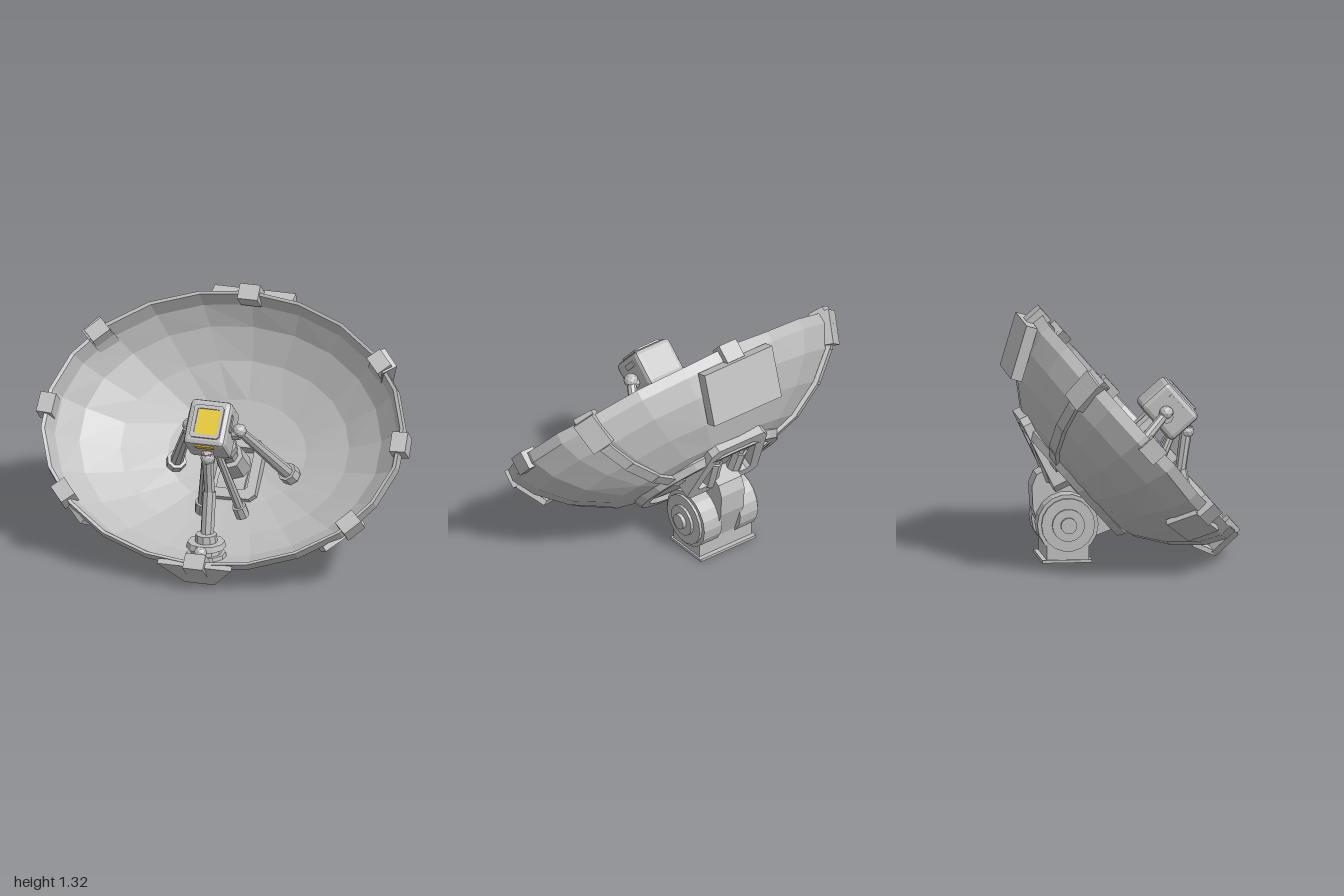
import * as THREE from 'three';
import { RoundedBoxGeometry } from 'three/addons/geometries/RoundedBoxGeometry.js';

const grey = new THREE.MeshStandardMaterial({ color: 0xbebebe, flatShading: true });
grey.name = 'light grey metal';
const yellow = new THREE.MeshStandardMaterial({ color: 0xe6c62e, flatShading: true });
yellow.name = 'yellow lens';

const V = (x, y, z) => new THREE.Vector3(x, y, z);
const RX = 0.975, RZ = 0.765; // rim half-widths
const OUTER = [[0, -0.485], [0.35, -0.46], [0.58, -0.405], [0.78, -0.303], [0.93, -0.175], [1.0, -0.06], [0.995, 0]];
const INNER = [[0.975, -0.005], [0.94, -0.095], [0.83, -0.2], [0.63, -0.3], [0.38, -0.37], [0, -0.405]];

function add(parent, name, geo, x = 0, y = 0, z = 0, mat = grey) {
  const m = new THREE.Mesh(geo, mat);
  m.name = name;
  m.position.set(x, y, z);
  parent.add(m);
  return m;
}
const box = (w, h, d) => new THREE.BoxGeometry(w, h, d);

// Cylinder between two points
function rod(parent, name, p, q, r0, r1 = r0, n = 8) {
  const dir = q.clone().sub(p);
  const mid = p.clone().add(q).multiplyScalar(0.5);
  const m = add(parent, name, new THREE.CylinderGeometry(r1, r0, dir.length(), n), mid.x, mid.y, mid.z);
  m.quaternion.setFromUnitVectors(V(0, 1, 0), dir.normalize());
}

// Point on an ellipse of the dish; angle 90 is the upper end
function dishPoint([r, d], deg) {
  const a = THREE.MathUtils.degToRad(deg);
  return V(r * RX * Math.cos(a), d, -r * RZ * Math.sin(a));
}

// Flat slab along the dish shell from profile point a to b; taper narrows the a end
function slab(parent, name, a, b, deg, width, thick, taper = 1) {
  const p = dishPoint(a, deg), q = dishPoint(b, deg);
  const up = q.clone().sub(p);
  const rad = THREE.MathUtils.degToRad(deg);
  const side = V(-RX * Math.sin(rad), 0, -RZ * Math.cos(rad)).normalize();
  const geo = box(width, up.length() + thick * 0.5, thick);
  const pos = geo.attributes.position;
  for (let i = 0; i < pos.count; i++) if (pos.getY(i) < 0) pos.setX(i, pos.getX(i) * taper);
  up.normalize();
  const out = side.clone().cross(up).normalize();
  const across = up.clone().cross(out);
  const mid = p.add(q).multiplyScalar(0.5);
  const m = add(parent, name, geo, mid.x, mid.y, mid.z);
  m.quaternion.setFromRotationMatrix(new THREE.Matrix4().makeBasis(across, up, out));
}

// Tapered frame with cut corners in the local XZ plane, upper end at -z
function frame(parent, name, wTop, wBottom, d, bar, h) {
  const outline = (inset, cut) => {
    const t = wTop / 2 - inset, b = wBottom / 2 - inset, e = d / 2 - inset;
    return [[-b + cut, -e], [b - cut, -e], [b, -e + cut], [t, e - cut], [t - cut, e], [-t + cut, e], [-t, e - cut], [-b, -e + cut]]
      .map(([x, y]) => new THREE.Vector2(x, y));
  };
  const shape = new THREE.Shape(outline(0, bar * 0.6));
  shape.holes.push(new THREE.Path(outline(bar, bar * 0.3)));
  const geo = new THREE.ExtrudeGeometry(shape, { depth: h, bevelEnabled: false });
  geo.translate(0, 0, -h / 2);
  geo.rotateX(-Math.PI / 2);
  return add(parent, name, geo);
}

function buildDish(dish) {
  // Faceted bowl with a slight unevenness
  const pts = [...OUTER, ...INNER].map(([r, d]) => new THREE.Vector2(r, d));
  const bowl = new THREE.LatheGeometry(pts, 22);
  bowl.scale(RX, 1, RZ);
  const pos = bowl.attributes.position;
  for (let i = 0; i < pos.count; i++) {
    const x = pos.getX(i), z = pos.getZ(i);
    pos.setY(i, pos.getY(i) + 0.008 * Math.sin(9 * x + 4) * Math.sin(11 * z + 1));
  }
  add(dish, 'bowl', bowl);

  // Rim clips
  for (const deg of [2, 37, 90, 143, 178, -144, -90, -36]) {
    const p = dishPoint([0.98, -0.03], deg);
    const clip = add(dish, 'rimClip', box(0.085, 0.1, 0.11), p.x, p.y, p.z);
    const a = THREE.MathUtils.degToRad(deg);
    clip.rotation.y = Math.atan2(RX * Math.sin(a), RZ * Math.cos(a));
  }

  // Ribs on the back and outer panels
  for (const deg of [37, 143]) {
    for (let i = 1; i < OUTER.length - 1; i++) slab(dish, 'backRib', OUTER[i], OUTER[i + 1], deg, 0.06, 0.045);
    slab(dish, 'ribCap', [0.95, -0.15], [1.0, -0.02], deg, 0.12, 0.085);
  }
  slab(dish, 'upperPanel', [0.83, -0.31], [1.01, -0.09], 90, 0.44, 0.06);
  slab(dish, 'lowerPanel', [1.03, -0.16], [0.995, -0.01], -90, 0.4, 0.03, 0.4);
  slab(dish, 'lowerPanelEdge', [0.9, -0.21], [1.03, -0.16], -90, 0.16, 0.025, 0.6);
  for (const deg of [-40, -140]) slab(dish, 'cornerPanel', [0.9, -0.21], [0.99, -0.07], deg, 0.25, 0.03);

  // Collar ring on the back
  const ring = new THREE.TorusGeometry(0.36, 0.045, 6, 20);
  ring.rotateX(Math.PI / 2);
  ring.scale(1.05, 1, 1);
  add(dish, 'backRing', ring, 0, -0.435, 0);

  // Raised frame behind the dish with two pistons
  const back = frame(dish, 'backFrame', 0.36, 0.46, 0.42, 0.06, 0.09);
  back.position.set(0, -0.46, -0.23);
  back.rotation.x = 0.27;
  for (const s of [-1, 1]) {
    rod(back, 'piston', V(s * 0.08, 0.01, -0.16), V(s * 0.07, -0.02, 0.18), 0.03);
    rod(back, 'pistonSleeve', V(s * 0.08, 0, -0.02), V(s * 0.07, -0.02, 0.17), 0.042);
  }

  // Frame around the mast foot
  frame(dish, 'mastFrame', 0.3, 0.3, 0.33, 0.05, 0.09).position.set(0, -0.37, 0.1);
}

function buildFeed(dish) {
  // Mast and receiver head
  rod(dish, 'mast', V(0, -0.42, 0.07), V(0, 0.08, 0.064), 0.05);
  rod(dish, 'mastSleeve', V(0, -0.42, 0.07), V(0, -0.22, 0.07), 0.085, 0.075);
  rod(dish, 'mastCollar', V(0, -0.13, 0.066), V(0, -0.08, 0.066), 0.07);
  const head = new THREE.Group();
  head.name = 'receiverHead';
  head.position.set(-0.01, 0.16, 0.064);
  dish.add(head);
  add(head, 'headBody', new RoundedBoxGeometry(0.225, 0.2, 0.255, 1, 0.026));
  frame(head, 'lensFrame', 0.16, 0.16, 0.18, 0.02, 0.016).position.y = 0.103;
  add(head, 'lens', box(0.12, 0.008, 0.14), 0, 0.1, 0, yellow);
  add(head, 'lowerLens', box(0.1, 0.034, 0.008), 0, 0.066, 0.127, yellow);
  for (const s of [-1, 1]) {
    add(head, 'sidePlate', box(0.012, 0.03, 0.09), s * 0.112, 0.05, -0.02);
    rod(head, 'pivot', V(s * 0.1, -0.03, 0), V(s * 0.15, -0.03, 0), 0.035);
  }
}

// Struts bracing the head against the bowl
function buildStruts(g) {
  for (const s of [-1, 1]) {
    const top = V(s * 0.135, 0.77, 0.21), foot = V(s * 0.315, 0.4, -0.14);
    rod(g, 'sideStrut', foot, top, 0.036, 0.024);
    rod(g, 'sideStrutFoot', foot, foot.clone().lerp(top, 0.1), 0.052);
    add(g, 'sideStrutBall', new THREE.IcosahedronGeometry(0.038, 1), top.x, top.y, top.z);
    const innerFoot = V(s * 0.11, 0.24, 0.07), innerTop = V(s * 0.03, 0.66, 0.26);
    rod(g, 'innerStrut', innerFoot, innerTop, 0.026, 0.02);
    rod(g, 'innerStrutFoot', innerFoot, innerFoot.clone().lerp(innerTop, 0.15), 0.038);
  }
  rod(g, 'frontStrutLower', V(0, 0.18, 0.35), V(0, 0.45, 0.3), 0.036);
  rod(g, 'frontStrutUpper', V(0, 0.43, 0.3), V(0, 0.68, 0.335), 0.028, 0.032);
  add(g, 'frontStrutJoint', new THREE.IcosahedronGeometry(0.038, 1), 0, 0.65, 0.335);
  [[0.11, 0.05, 0.11], [0.085, 0.04, 0.145], [0.105, 0.03, 0.18], [0.06, 0.05, 0.21]].forEach(([r, h, y]) =>
    rod(g, 'frontStrutBase', V(0, y - h / 2, 0.36), V(0, y + h / 2, 0.36), r, r * 0.92, 10));
  add(g, 'frontKnob', new THREE.IcosahedronGeometry(0.035, 1), 0, 0.17, 0.47);
}

function buildMount(g) {
  // Pedestal
  add(g, 'basePlate', box(0.36, 0.015, 0.26), 0, 0.0075, -0.315);
  add(g, 'pedestal', box(0.34, 0.2, 0.22), 0, 0.1, -0.31);
  // Tilt drum with stepped hubs on both sides
  for (const s of [-1, 1]) {
    [[0.16, 0.06, 0.175], [0.14, 0.175, 0.19], [0.085, 0.19, 0.205], [0.042, 0.205, 0.225]].forEach(([r, a, b]) =>
      rod(g, 'tiltDrum', V(s * a, 0.2, -0.31), V(s * b, 0.2, -0.31), r, r, 18));
  }
  // Yoke linking the drum to the dish
  const side = [[-0.485, 0.39], [-0.48, 0.27], [-0.42, 0.1], [-0.3, 0.06], [-0.16, 0.12], [-0.08, 0.15],
    [0.02, 0.2], [-0.1, 0.36], [-0.36, 0.5], [-0.46, 0.45]];
  const yoke = new THREE.ExtrudeGeometry(new THREE.Shape(side.map(([z, y]) => new THREE.Vector2(z, y))),
    { depth: 0.15, bevelEnabled: false });
  yoke.translate(0, 0, -0.075);
  yoke.rotateY(-Math.PI / 2);
  add(g, 'yoke', yoke);
}

export function createModel() {
  const model = new THREE.Group();
  model.name = 'satelliteDish';
  // Dish group: local +y looks out along the dish axis
  const dish = new THREE.Group();
  dish.name = 'dish';
  dish.position.set(0, 0.715, 0.07);
  dish.rotation.x = 0.85;
  buildDish(dish);
  buildFeed(dish);
  model.add(dish);
  buildStruts(model);
  buildMount(model);
  return model;
}
